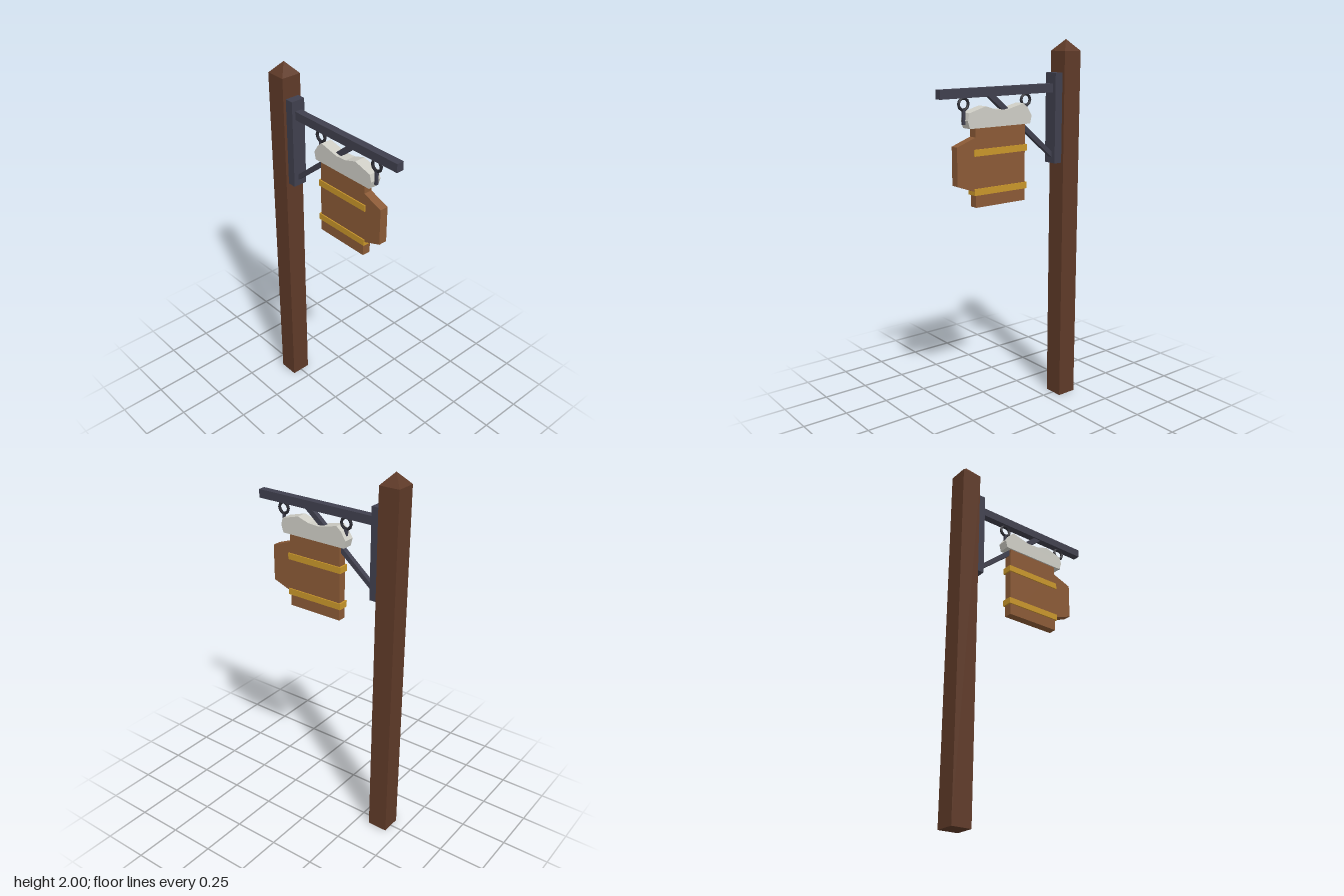
import * as THREE from 'three';

const mat = (name, color) => {
  const m = new THREE.MeshStandardMaterial({ color });
  m.name = name;
  return m;
};

export function createModel() {
  const wood = mat('dark wood', 0x5f3a28);
  const board = mat('board wood', 0x8b5a36);
  const iron = mat('iron', 0x40404e);
  const ringIron = mat('dark iron', 0x2b2b33);
  const foamWhite = mat('foam white', 0xcfcec6);
  const brass = mat('brass', 0xc9962a);
  const root = new THREE.Group();
  root.name = 'hangingSign';

  const add = (name, geo, material, x = 0, y = 0, z = 0) => {
    const mesh = new THREE.Mesh(geo, material);
    mesh.name = name;
    mesh.position.set(x, y, z);
    root.add(mesh);
    return mesh;
  };
  // Box given by its x and y limits and its full depth
  const box = (name, material, x0, x1, y0, y1, depth) =>
    add(name, new THREE.BoxGeometry(x1 - x0, y1 - y0, depth), material, (x0 + x1) / 2, (y0 + y1) / 2);
  // Flat outline extruded symmetrically about z = 0
  const slab = (name, material, points, depth) => {
    const shape = new THREE.Shape(points.map(([x, y]) => new THREE.Vector2(x, y)));
    return add(name, new THREE.ExtrudeGeometry(shape, { depth, bevelEnabled: false }), material, 0, 0, -depth / 2);
  };

  // Post with a pyramid cap
  box('post', wood, -0.432, -0.322, 0, 1.94, 0.11);
  const cap = new THREE.ConeGeometry(0.055 * Math.SQRT2, 0.06, 4, 1, true).toNonIndexed();
  cap.rotateY(Math.PI / 4);
  cap.computeVertexNormals();
  add('postCap', cap, wood, -0.377, 1.97);

  // Iron bracket: wall plate, arm and diagonal brace
  box('wallPlate', iron, -0.322, -0.275, 1.355, 1.83, 0.078);
  box('arm', iron, -0.275, 0.43, 1.73, 1.775, 0.04);
  slab('brace', iron, [[-0.275, 1.387], [0.142, 1.732], [0.096, 1.732], [-0.275, 1.418]], 0.026);

  // Hanging rings and their stems
  for (const x of [-0.105, 0.284]) {
    add('ring', new THREE.TorusGeometry(0.029, 0.008, 6, 10), ringIron, x, 1.7);
    box('ringStem', iron, x - 0.007, x + 0.007, 1.6, 1.672, 0.014);
  }

  // Mug-shaped board with its handle
  slab('mugBoard', board, [
    [-0.083, 1.18], [0.23, 1.18], [0.23, 1.26], [0.341, 1.3],
    [0.341, 1.495], [0.23, 1.535], [0.23, 1.6], [-0.083, 1.6],
  ], 0.046);

  // Foam on top
  slab('foam', foamWhite, [
    [-0.112, 1.58], [0.267, 1.58], [0.28, 1.62], [0.27, 1.657], [0.17, 1.685],
    [0.105, 1.664], [0.04, 1.66], [-0.068, 1.686], [-0.095, 1.663], [-0.122, 1.62],
  ], 0.06);

  // Two bands around the mug
  for (const y of [1.243, 1.441]) box('band', brass, -0.092, 0.24, y, y + 0.034, 0.058);

  return root;
}
